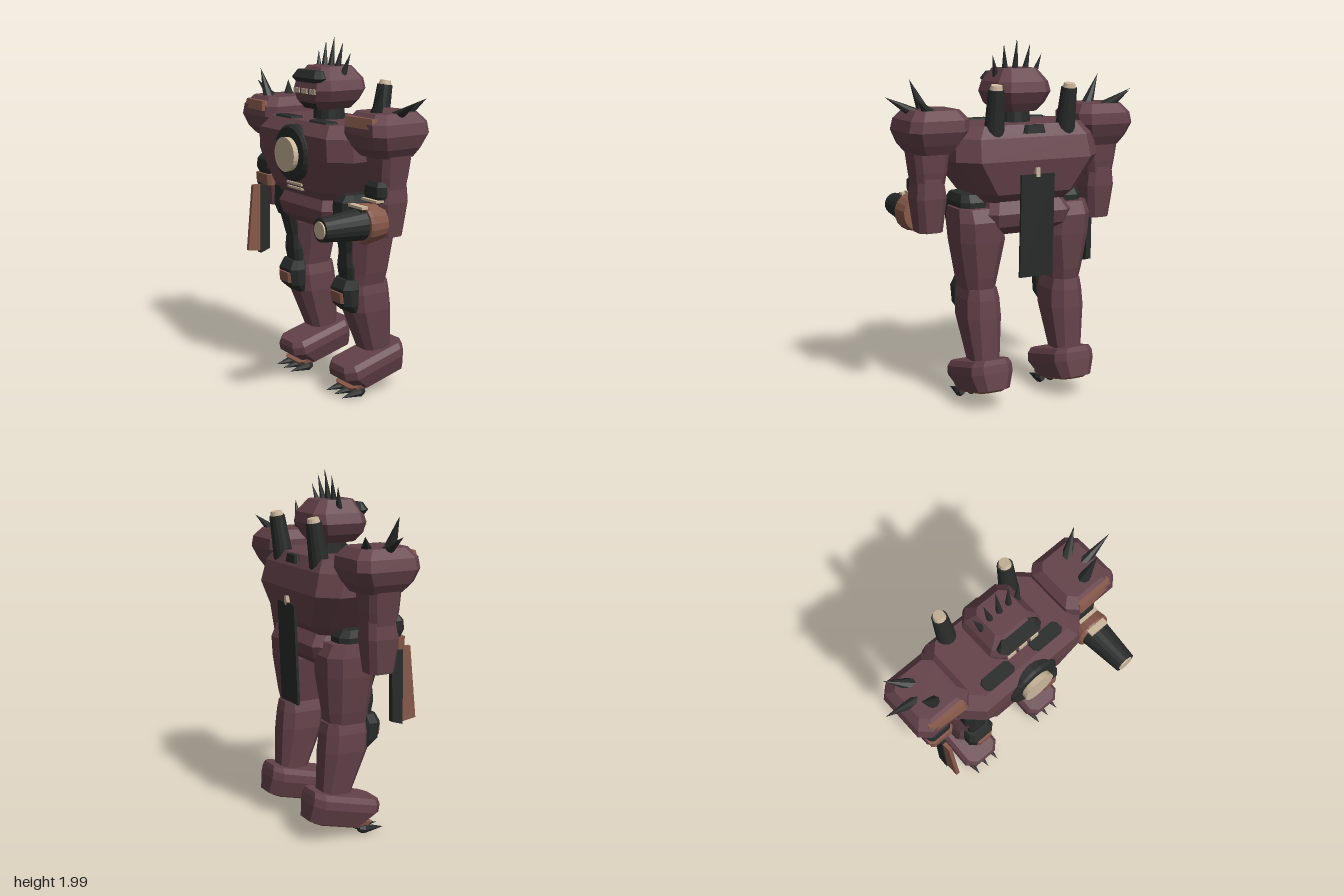
import * as THREE from 'three';

const mat = (name, color) => {
  const m = new THREE.MeshStandardMaterial({ color, flatShading: true });
  m.name = name;
  return m;
};

export function createModel() {
  const root = new THREE.Group();
  root.name = 'armouredRobot';
  const maroon = mat('maroon armour', 0x64424a);
  const black = mat('black metal', 0x292b2b);
  const copper = mat('copper trim', 0x87594a);
  const cream = mat('cream light', 0xcbb79b);

  const add = (name, geo, m, parent = root) => {
    const mesh = new THREE.Mesh(geo, m);
    mesh.name = name;
    parent.add(mesh);
    return mesh;
  };

  // Chamfered block through sections [y, x0, x1, z0, z1, chamfer], bottom to top
  const loft = (name, sections, m, parent) => {
    const pos = [], idx = [];
    for (const [y, xa, xb, z0, z1, c] of sections) {
      const x0 = Math.min(xa, xb), x1 = Math.max(xa, xb);
      for (const [x, z] of [[x1, z0 + c], [x1, z1 - c], [x1 - c, z1], [x0 + c, z1],
        [x0, z1 - c], [x0, z0 + c], [x0 + c, z0], [x1 - c, z0]]) pos.push(x, y, z);
    }
    const top = (sections.length - 1) * 8;
    for (let i = 0; i < top; i += 8) {
      for (let j = 0; j < 8; j++) {
        const k = (j + 1) % 8;
        idx.push(i + j, i + 8 + j, i + k, i + k, i + 8 + j, i + 8 + k);
      }
    }
    for (let j = 1; j < 7; j++) idx.push(0, j, j + 1, top, top + j + 1, top + j);
    const g = new THREE.BufferGeometry();
    g.setAttribute('position', new THREE.Float32BufferAttribute(pos, 3));
    g.setIndex(idx);
    const flat = g.toNonIndexed();
    flat.computeVertexNormals();
    return add(name, flat, m, parent);
  };

  // Tapered rod between two points; r1 = 0 makes a spike
  const rod = (name, a, b, r0, r1, m, parent, sides = 10) => {
    const p = new THREE.Vector3(...a), q = new THREE.Vector3(...b);
    const mesh = add(name, new THREE.CylinderGeometry(r1, r0, p.distanceTo(q), sides), m, parent);
    mesh.position.copy(p).add(q).multiplyScalar(0.5);
    mesh.quaternion.setFromUnitVectors(new THREE.Vector3(0, 1, 0), q.sub(p).normalize());
    return mesh;
  };

  const box = (name, [w, h, d], [x, y, z], m, parent) => {
    const mesh = add(name, new THREE.BoxGeometry(w, h, d), m, parent);
    mesh.position.set(x, y, z);
    return mesh;
  };

  // Torso and pelvis
  loft('torso', [[1.13, -.25, .25, -.25, .12, .05], [1.18, -.29, .29, -.31, .155, .07],
    [1.36, -.43, .43, -.34, .18, .1], [1.48, -.42, .42, -.31, .18, .1],
    [1.545, -.36, .36, -.27, .13, .08]], maroon);
  loft('pelvis', [[.95, -.18, .18, -.22, .05, .03], [1.0, -.24, .24, -.28, .11, .04],
    [1.07, -.25, .25, -.3, .13, .04], [1.14, -.22, .22, -.25, .1, .04]], maroon);
  rod('chestRing', [0, 1.37, .12], [0, 1.37, .185], .157, .157, black, root, 24);
  rod('chestRingBevel', [0, 1.37, .185], [0, 1.37, .2], .157, .142, black, root, 24);
  rod('chestLight', [0, 1.365, .19], [0, 1.365, .232], .092, .096, cream, root, 24);
  box('chestSlitUpper', [.14, .013, .03], [0, 1.198, .155], cream);
  box('chestSlitLower', [.14, .012, .03], [0, 1.173, .15], cream);
  for (const s of [-1, 1]) {
    loft('collarVent', [[1.52, s * .06, s * .27, .04, .135, .02],
      [1.555, s * .07, s * .26, .05, .125, .02]], black);
  }
  loft('backVent', [[1.5, -.065, .065, -.32, -.285, .012],
    [1.545, -.055, .055, -.315, -.285, .012]], black);

  // Back plate on its small mount
  const plate = box('backPlate', [.2, .56, .015], [0, 1.005, -.332], black);
  plate.rotation.x = -.035;
  box('backPlateMount', [.025, .05, .03], [0, 1.295, -.335], cream);

  // Head
  const head = new THREE.Group();
  head.name = 'head';
  root.add(head);
  rod('neck', [0, 1.53, -.07], [0, 1.63, -.07], .09, .085, black, head, 14);
  loft('skull', [[1.605, -.1, .1, -.18, .05, .04], [1.65, -.14, .14, -.21, .085, .05],
    [1.71, -.167, .167, -.24, .095, .06], [1.765, -.15, .15, -.23, .08, .05],
    [1.835, -.1, .1, -.17, .03, .03]], maroon, head);
  loft('brow', [[1.75, -.11, .11, .03, .095, .025], [1.775, -.135, .135, .02, .108, .03],
    [1.815, -.11, .11, .03, .085, .025]], black, head);
  loft('jaw', [[1.605, -.07, .07, -.02, .06, .02],
    [1.64, -.09, .09, -.02, .085, .02]], black, head);
  for (const x of [-.075, 0, .075]) box('eye', [.052, .028, .009], [x, 1.703, .096], cream, head);
  for (const [bx, by, tx, ty] of [[0, 1.82, 0, 1.995], [.06, 1.815, .08, 1.965], [.115, 1.79, .15, 1.91]]) {
    for (const s of bx ? [-1, 1] : [1]) {
      rod('crownSpike', [s * bx, by, -.08], [s * tx, ty, -.105], .02, 0, black, head, 8);
    }
  }

  for (const s of [-1, 1]) {
    const side = s > 0 ? 'left' : 'right';

    // Exhaust stack
    rod('exhaustStack', [s * .215, 1.49, -.25], [s * .22, 1.735, -.288], .056, .043, black, root, 14);
    rod('exhaustCap', [s * .22, 1.73, -.288], [s * .22, 1.758, -.293], .037, .03, cream, root, 14);

    // Arm
    const arm = new THREE.Group();
    arm.name = side + 'Arm';
    root.add(arm);
    loft('shoulderPad', [[1.4, s * .4, s * .62, -.2, .04, .04], [1.45, s * .36, s * .655, -.23, .085, .05],
      [1.52, s * .335, s * .678, -.26, .11, .05], [1.58, s * .335, s * .665, -.255, .105, .05],
      [1.63, s * .375, s * .625, -.21, .06, .04]], maroon, arm);
    const strip = loft('shoulderStrip', [[-.027, -.12, .12, -.02, .02, .012],
      [.027, -.11, .11, -.025, .01, .012]], copper, arm);
    strip.position.set(s * .505, 1.583, .094);
    strip.rotation.y = s * .08;
    for (const [a, b] of [[[.555, 1.59, -.07], [.755, 1.7, -.073]],
      [[.53, 1.6, -.15], [.645, 1.7, -.225]], [[.505, 1.6, 0], [.585, 1.785, .01]]]) {
      rod('shoulderSpike', [s * a[0], a[1], a[2]], [s * b[0], b[1], b[2]], .038, 0, black, arm, 8);
    }
    loft('upperArm', [[1.2, s * .45, s * .6, -.15, .0, .03], [1.3, s * .435, s * .612, -.165, .015, .03],
      [1.44, s * .425, s * .63, -.175, .02, .03]], maroon, arm);
    loft('forearm', [[.975, s * .455, s * .59, -.145, .0, .03], [1.16, s * .438, s * .61, -.165, .022, .03],
      [1.27, s * .455, s * .6, -.16, .01, .03]], maroon, arm);
    loft('elbowGuard', [[1.165, s * .47, s * .59, -.02, .03, .015], [1.2, s * .455, s * .602, -.03, .045, .02],
      [1.25, s * .455, s * .602, -.03, .042, .02], [1.275, s * .475, s * .585, -.03, .025, .015]], black, arm);

    // Leg
    const leg = new THREE.Group();
    leg.name = side + 'Leg';
    root.add(leg);
    loft('hipBlock', [[.96, s * .215, s * .355, -.15, .06, .03], [1.02, s * .205, s * .37, -.2, .085, .04],
      [1.13, s * .205, s * .37, -.2, .08, .04], [1.17, s * .22, s * .355, -.17, .05, .03]], black, leg);
    loft('thighGuard', [[.84, s * .205, s * .32, -.08, .025, .02],
      [1.0, s * .205, s * .355, -.08, .06, .03]], black, leg);
    loft('lowerThighGuard', [[.67, s * .2, s * .315, -.08, .015, .02], [.76, s * .195, s * .325, -.08, .028, .02],
      [.845, s * .205, s * .315, -.08, .025, .02]], black, leg);
    loft('thigh', [[.645, s * .185, s * .345, -.235, -.01, .04], [.72, s * .17, s * .362, -.25, -.005, .05],
      [.92, s * .13, s * .395, -.272, .015, .06], [1.03, s * .14, s * .4, -.275, .03, .06],
      [1.1, s * .16, s * .39, -.24, .02, .05]], maroon, leg);
    loft('shin', [[.26, s * .185, s * .332, -.283, -.11, .03], [.5, s * .16, s * .362, -.272, -.01, .05],
      [.6, s * .165, s * .357, -.262, .0, .05], [.66, s * .18, s * .345, -.25, -.01, .04]], maroon, leg);
    loft('kneePad', [[.5, s * .19, s * .325, -.05, .0, .02], [.545, s * .172, s * .345, -.05, .05, .03],
      [.64, s * .17, s * .348, -.05, .062, .03], [.69, s * .19, s * .33, -.05, .035, .02]], black, leg);
    loft('kneePlate', [[.562, s * .205, s * .312, .03, .068, .01],
      [.622, s * .205, s * .312, .03, .074, .01]], copper, leg);

    // Foot, tipped forward
    const foot = new THREE.Group();
    foot.name = side + 'Foot';
    foot.position.set(s * .257, .17, -.155);
    foot.rotation.x = .247;
    leg.add(foot);
    loft('footShell', [[-.091, -.095, .095, -.198, .131, .04], [0, -.125, .125, -.208, .211, .05],
      [.045, -.122, .122, -.21, .21, .05], [.074, -.1, .1, -.208, .195, .04]], maroon, foot);
    loft('sole', [[-.104, -.07, .07, -.16, .14, .03], [-.088, -.085, .085, -.185, .15, .03]], copper, foot);
    loft('toePlate', [[-.1, -.08, .08, .08, .165, .02], [-.058, -.09, .09, .08, .19, .02]], copper, foot);
    for (const x of [-.072, 0, .072]) {
      rod('toeClaw', [s * .257 + x, .036, -.045], [s * .257 + x * 1.05, .026, .08], .029, 0, black, leg, 8);
      rod('clawRoot', [s * .257 + x, .042, -.075], [s * .257 + x, .036, -.045], .018, .029, black, leg, 8);
    }
  }

  // Cannon on the left forearm
  const cannon = new THREE.Group();
  cannon.name = 'cannon';
  root.add(cannon);
  const at = z => [.535, 1.06, z];
  rod('cannonCollar', at(.0), at(.1), .095, .11, copper, cannon, 18);
  rod('cannonCollarRim', at(.1), at(.115), .11, .1, copper, cannon, 18);
  rod('cannonBarrel', at(.1), at(.368), .088, .062, black, cannon, 18);
  rod('cannonMuzzle', at(.36), at(.375), .05, .045, cream, cannon, 18);
  box('cannonSightRear', [.12, .014, .04], [.535, 1.155, .13], cream, cannon);
  box('cannonSightFoot', [.1, .02, .03], [.535, 1.14, .13], black, cannon);
  box('cannonSightBand', [.13, .012, .05], [.535, 1.178, .035], cream, cannon);

  // Blade on the right forearm
  const blade = new THREE.Group();
  blade.name = 'blade';
  root.add(blade);
  const slab = (name, pts, depth, m) => {
    // outline points are [z, y]; the extrusion runs along x
    const g = new THREE.ExtrudeGeometry(new THREE.Shape(pts.map(([z, y]) => new THREE.Vector2(-z, y))),
      { depth, bevelEnabled: false });
    g.rotateY(Math.PI / 2);
    add(name, g, m, blade).position.x = -.533 - depth / 2;
  };
  slab('bladeEdge', [[.11, 1.1], [.045, 1.1], [.05, .69], [.148, .705]], .022, copper);
  slab('bladeSpine', [[.06, 1.11], [-.005, 1.1], [.0, .7], [.065, .68]], .034, black);
  loft('bladeMount', [[1.1, -.6, -.45, -.01, .045, .015],
    [1.165, -.605, -.445, -.02, .05, .02]], copper, blade);

  return root;
}
